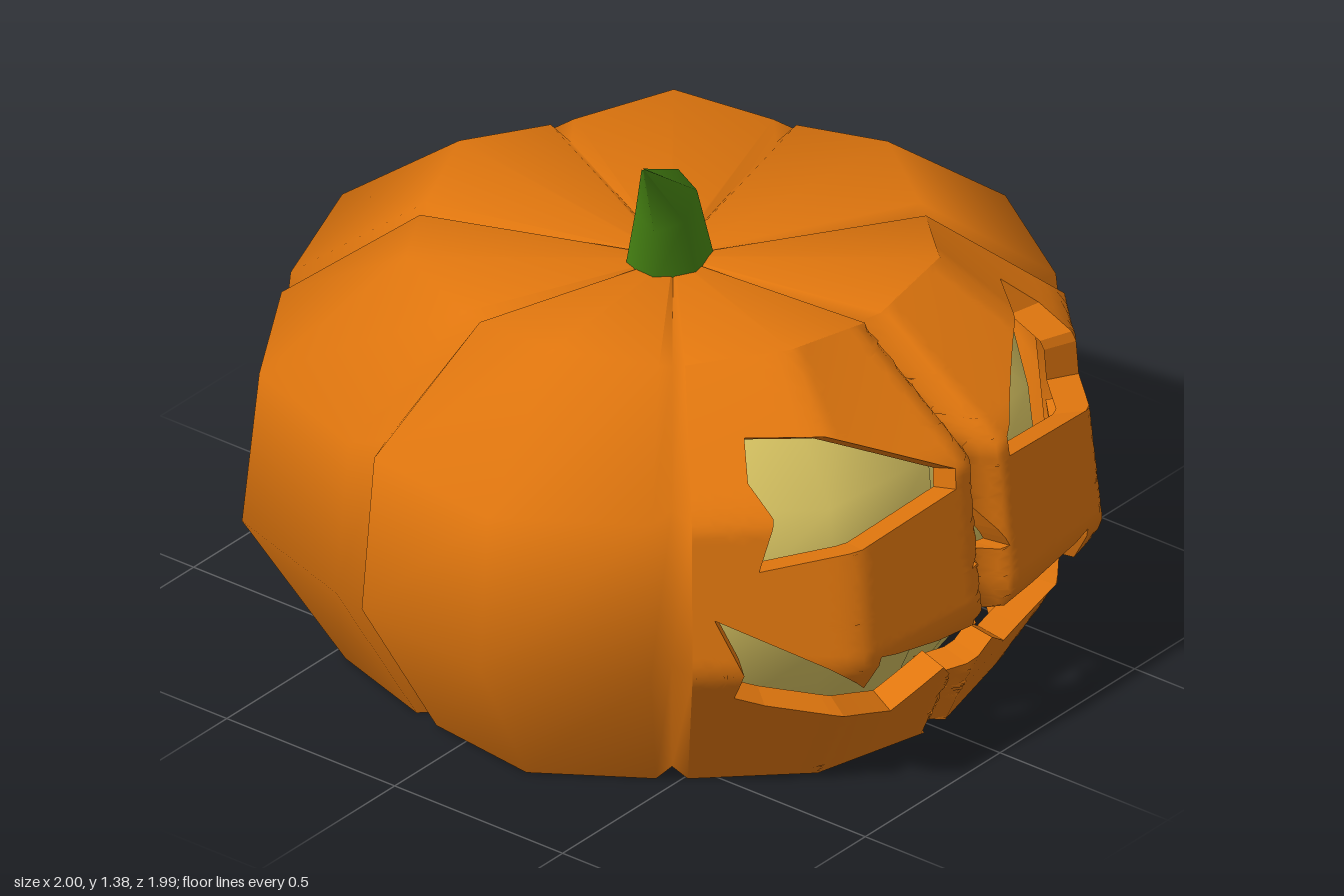
import * as THREE from 'three';

const orange = new THREE.MeshStandardMaterial({ name: 'orange skin', color: 0xe0760e, side: THREE.DoubleSide });
const yellow = new THREE.MeshStandardMaterial({ name: 'pale yellow flesh', color: 0xd4c060, side: THREE.DoubleSide });
const green = new THREE.MeshStandardMaterial({ name: 'stem green', color: 0x4a8a14 });

// Seven lobes, four columns each: groove, edge, peak, edge
const COLS = 28, LOBE = Math.PI * 2 / 7, CZ = 0.026;
const OFFSET = [0, 0.0506, LOBE / 2, LOBE - 0.0506];
const RADIUS = [0.886, 0.962, 1.026, 0.962];
const DIP = [0.06, 0.03, 0, 0.03];
const RINGS = [[0.76, 0], [1, 0.4], [0.96, 0.79], [0.62, 1.06], [0.02, 0.98]];

function skinPoint(j, k) {
  j = (j + COLS) % COLS;
  const type = j % 4;
  const a = Math.floor(j / 4) * LOBE + OFFSET[type];
  const frontFoot = k === 0 && (j < 2 || j === COLS - 1);
  const r = RADIUS[type] * (frontFoot ? 0.81 : RINGS[k][0]);
  const y = RINGS[k][1] - (k === 3 ? DIP[type] : 0);
  return new THREE.Vector3(Math.sin(a) * r, y, CZ + Math.cos(a) * r);
}

// Move a point towards the heart of the pumpkin
const HEART = new THREE.Vector3(0, 0.45, CZ);
const inward = (p, s) => p.clone().sub(HEART).multiplyScalar(s).add(HEART);

// Closed loft of rings; normals are smoothed before unwanted cells are left out
function loft(point, cols, rows, keep = () => true) {
  const pos = [], all = [], kept = [];
  for (let k = 0; k < rows; k++) for (let j = 0; j < cols; j++) pos.push(...point(j, k).toArray());
  for (let k = 0; k < rows - 1; k++) {
    for (let j = 0; j < cols; j++) {
      const n = (j + 1) % cols;
      const a = k * cols + j, b = k * cols + n, c = b + cols, d = a + cols;
      const cell = [a, b, c, a, c, d];
      all.push(...cell);
      if (keep(j, k)) kept.push(...cell);
    }
  }
  const g = new THREE.BufferGeometry();
  g.setAttribute('position', new THREE.Float32BufferAttribute(pos, 3));
  g.setIndex(all);
  g.computeVertexNormals();
  g.setIndex(kept);
  return g;
}

// Depth of the front skin at a given x, y
function skinZ(x, y) {
  const k = y < 0.4 ? 0 : y < 0.79 ? 1 : 2;
  const at = (j) => {
    const a = skinPoint(j, k), b = skinPoint(j, k + 1);
    return a.lerp(b, (y - a.y) / (b.y - a.y));
  };
  let p = at(-3), q = at(-2);
  for (let j = -1; j <= 3 && x > q.x; j++) { p = q; q = at(j); }
  return p.z + (q.z - p.z) * (x - p.x) / (q.x - p.x);
}

const STEP = 0.03;

// Add points along a closed outline
function refine(points) {
  const out = [];
  points.forEach(([x, y], i) => {
    const [u, v] = points[(i + 1) % points.length];
    const n = Math.ceil(Math.hypot(u - x, v - y) / STEP);
    for (let s = 0; s < n; s++) out.push(new THREE.Vector2(x + (u - x) * s / n, y + (v - y) * s / n));
  });
  return out;
}

const mirror = (pts) => pts.map(([x, y]) => [-x, y]).reverse();

// Carved openings
const eye = [[0.593, 0.663], [0.54, 0.85], [0.475, 0.92], [0.353, 0.92], [0.096, 0.785], [0.1, 0.733], [0.444, 0.7]];
const nose = [[0, 0.64], [-0.07, 0.515], [0.07, 0.515]];
const halfMouth = [[0.09, 0.235], [0.21, 0.15], [0.55, 0.28], [0.615, 0.315], [0.674, 0.545], [0.5, 0.41],
  [0.39, 0.315], [0.383, 0.412], [0.176, 0.364]];
const mouth = [[0, 0.14], ...halfMouth, [0, 0.353], ...mirror(halfMouth)];
const openings = { leftEye: eye, rightEye: mirror(eye), nose, mouth };

// Face skin: a flat outline with holes, split finely and laid onto the lobes
function faceGeometry() {
  const outline = [];
  for (let j = -3; j <= 3; j++) outline.push(skinPoint(j, 0));
  for (let k = 1; k < 3; k++) outline.push(skinPoint(3, k));
  for (let j = 3; j >= -3; j--) outline.push(skinPoint(j, 3));
  for (let k = 2; k > 0; k--) outline.push(skinPoint(-3, k));
  const shape = new THREE.Shape(refine(outline.map((p) => [p.x, p.y])));
  for (const pts of Object.values(openings)) shape.holes.push(new THREE.Path(refine(pts)));
  const flat = new THREE.ShapeGeometry(shape);
  const src = flat.attributes.position, idx = flat.index.array;
  const pos = [], nor = [], h = 0.04;

  const emit = (p) => {
    pos.push(p.x, p.y, skinZ(p.x, p.y));
    const n = new THREE.Vector3(
      (skinZ(p.x - h, p.y) - skinZ(p.x + h, p.y)) / (2 * h),
      (skinZ(p.x, p.y - h) - skinZ(p.x, p.y + h)) / (2 * h), 1).normalize();
    nor.push(n.x, n.y, n.z);
  };
  // Halve the longest side until every side is short
  const split = (a, b, c) => {
    const ab = a.distanceTo(b), bc = b.distanceTo(c), ca = c.distanceTo(a);
    const longest = Math.max(ab, bc, ca);
    if (longest <= STEP * 1.1) {
      [a, b, c].forEach(emit);
      return;
    }
    const [p, q, r] = longest === ab ? [a, b, c] : longest === bc ? [b, c, a] : [c, a, b];
    const mid = p.clone().add(q).multiplyScalar(0.5);
    split(p, mid, r);
    split(mid, q, r);
  };
  for (let i = 0; i < idx.length; i += 3) {
    split(...[0, 1, 2].map((o) => new THREE.Vector2(src.getX(idx[i + o]), src.getY(idx[i + o]))));
  }
  const g = new THREE.BufferGeometry();
  g.setAttribute('position', new THREE.Float32BufferAttribute(pos, 3));
  g.setAttribute('normal', new THREE.Float32BufferAttribute(nor, 3));
  return g;
}

// Cut wall running inward from the rim of an opening
function wallGeometry(points) {
  const rim = refine(points).map((p) => new THREE.Vector3(p.x, p.y, skinZ(p.x, p.y)));
  if (THREE.ShapeUtils.isClockWise(rim)) rim.reverse();
  const wall = loft((j, k) => inward(rim[j], k ? 0.92 : 1), rim.length, 2).toNonIndexed();
  wall.computeVertexNormals();
  return wall;
}

export function createModel() {
  const model = new THREE.Group();
  model.name = 'carvedPumpkin';
  const add = (name, geometry, material) => {
    const mesh = new THREE.Mesh(geometry, material);
    mesh.name = name;
    model.add(mesh);
  };

  // Ribbed skin, open below, without the two carved front lobes
  const isFace = (j, k) => k < 3 && (j < 3 || j >= COLS - 3);
  add('pumpkinSkin', loft(skinPoint, COLS, 5, (j, k) => !isFace(j, k)), orange);
  add('carvedFace', faceGeometry(), orange);
  for (const [name, pts] of Object.entries(openings)) add(name + 'Wall', wallGeometry(pts), orange);

  // Flesh lining behind the face
  add('innerFlesh', loft((j, k) => inward(skinPoint(j, k), 0.86), COLS, 5, (j) => j < 4 || j >= COLS - 4), yellow);

  // Bent, pointed stem: centre, radii and sideways tilt of each ring
  const stemRings = [
    { c: [-0.01, 0.96, 0.025], rx: 0.115, rz: 0.1, tilt: 0 },
    { c: [-0.08, 1.18, 0.07], rx: 0.078, rz: 0.068, tilt: 0.04 },
    { c: [-0.27, 1.38, 0.153], rx: 0.003, rz: 0.003, tilt: 0 },
  ];
  add('stem', loft((j, k) => {
    const { c, rx, rz, tilt } = stemRings[k], a = j * Math.PI / 3 + 0.35;
    return new THREE.Vector3(c[0] + rx * Math.cos(a), c[1] + tilt * (Math.cos(a) + 0.5 * Math.sin(a)), c[2] - rz * Math.sin(a));
  }, 6, 3), green);

  return model;
}
